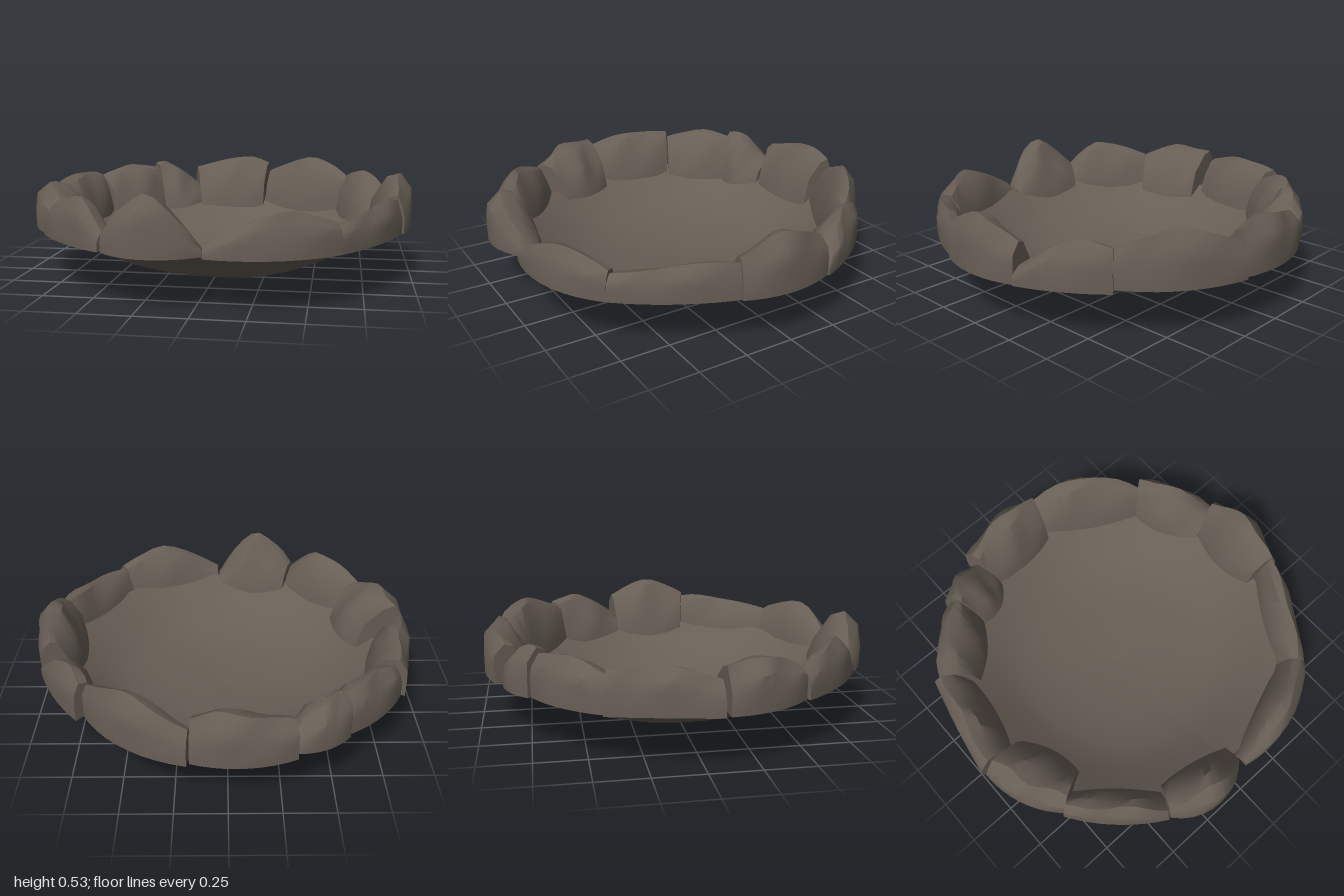
import * as THREE from 'three';
import { toCreasedNormals } from 'three/addons/utils/BufferGeometryUtils.js';

const BASE = 0.25;
const STEPS = 9;

// Rim stones, clockwise from the back: start and end angle in degrees, outer radius at
// start, middle and end, inner radius, top height at start, peak and end, peak position.
const STONES = [
  [-19, 10.5, 0.97, 0.98, 0.96, 0.73, 0.44, 0.51, 0.47, 0.75],
  [11, 50, 0.98, 0.96, 0.91, 0.76, 0.42, 0.525, 0.42, 0.5],
  [49, 76, 0.96, 0.97, 0.99, 0.75, 0.45, 0.48, 0.33, 0.35],
  [76, 104.5, 0.98, 1.0, 0.98, 0.76, 0.44, 0.53, 0.44, 0.52],
  [104.5, 139.5, 0.97, 0.97, 1.0, 0.81, 0.42, 0.43, 0.37, 0.15],
  [139.5, 177, 1.0, 1.0, 0.94, 0.81, 0.39, 0.46, 0.3, 0.4],
  [177.5, 206, 0.9, 1.01, 0.97, 0.75, 0.28, 0.53, 0.36, 0.52],
  [206.5, 238, 0.98, 0.97, 0.97, 0.78, 0.34, 0.48, 0.39, 0.35],
  [238, 264, 0.95, 0.99, 0.99, 0.67, 0.41, 0.48, 0.46, 0.5],
  [265.5, 296.5, 1.0, 0.965, 0.99, 0.75, 0.41, 0.47, 0.45, 0.5],
  [297, 324, 0.97, 0.96, 0.93, 0.72, 0.42, 0.48, 0.45, 0.5],
  [323, 341, 0.95, 0.965, 0.93, 0.7, 0.48, 0.49, 0.34, 0.15],
];

// Stone cross-section from the underside, over the top, to the inner foot:
// fraction from outer to inner edge, fraction of height.
const SECTION = [[0.65, 0.06], [0, 0], [0, 0.45], [0.07, 0.74], [0.27, 1], [0.5, 0.93], [0.8, 0.5], [0.96, 0.02], [1, -0.2]];

function stoneGeometry([a0, a1, r0, rMid, r1, rIn, h0, peak, h1, peakAt], seed) {
  const n = SECTION.length;
  const pos = [];
  const index = [];
  for (let i = 0; i <= STEPS; i++) {
    const t = i / STEPS;
    const angle = THREE.MathUtils.degToRad(a0 + (a1 - a0) * t);
    // outer edge bends through three radii, inner edge rounds off at both ends
    const outer = r0 * (1 - t) * (1 - 2 * t) + rMid * 4 * t * (1 - t) + r1 * t * (2 * t - 1);
    const inner = rIn + 0.05 * (2 * t - 1) ** 2;
    const fall = t < peakAt ? (peak - h0) * (1 - t / peakAt) ** 1.4 : (peak - h1) * ((t - peakAt) / (1 - peakAt)) ** 1.4;
    SECTION.forEach(([across, up], j) => {
      // gentle weathering of the upper surface
      const wear = j > 2 && j < 7 ? 0.05 * Math.sin(i * 1.1 + j * 1.7 + seed * 2.3) : 0;
      const r = outer + (inner - outer) * THREE.MathUtils.clamp(across + wear, 0, 1);
      pos.push(r * Math.sin(angle), BASE + (peak - fall - BASE) * up, -r * Math.cos(angle));
    });
  }
  for (let i = 0; i < STEPS; i++) {
    for (let j = 0; j < n - 1; j++) {
      const a = i * n + j, b = a + 1;
      index.push(a, b, a + n, b, b + n, a + n);
    }
  }
  // end faces
  const last = STEPS * n;
  for (let j = 1; j < n - 1; j++) {
    index.push(0, j + 1, j, last, last + j, last + j + 1);
  }
  const g = new THREE.BufferGeometry();
  g.setAttribute('position', new THREE.Float32BufferAttribute(pos, 3));
  g.setIndex(index);
  return toCreasedNormals(g, 0.7);
}

function bowlGeometry() {
  const profile = [[0, 0.002], [0.15, 0.008], [0.3, 0.02], [0.42, 0.038], [0.52, 0.065], [0.6, 0.098], [0.68, 0.145], [0.75, 0.192], [0.81, 0.232], [0.86, 0.262]];
  const g = new THREE.LatheGeometry(profile.map(([x, y]) => new THREE.Vector2(x, y)), 36);
  const p = g.attributes.position;
  // slight unevenness of the hollow
  for (let i = 0; i < p.count; i++) {
    const x = p.getX(i), z = p.getZ(i);
    p.setY(i, Math.max(0, p.getY(i) + 0.006 * Math.sin(7 * x) * Math.cos(6 * z)));
  }
  g.computeVertexNormals();
  return g;
}

export function createModel() {
  const model = new THREE.Group();
  model.name = 'stoneFirePit';
  const stone = new THREE.MeshStandardMaterial({ color: 0x675e55, side: THREE.DoubleSide });
  stone.name = 'brownGreyStone';

  const bowl = new THREE.Mesh(bowlGeometry(), stone);
  bowl.name = 'bowl';
  model.add(bowl);

  const rim = new THREE.Group();
  rim.name = 'rimStones';
  STONES.forEach((row, i) => {
    const mesh = new THREE.Mesh(stoneGeometry(row, i), stone);
    mesh.name = `rimStone${i + 1}`;
    rim.add(mesh);
  });
  model.add(rim);
  return model;
}
